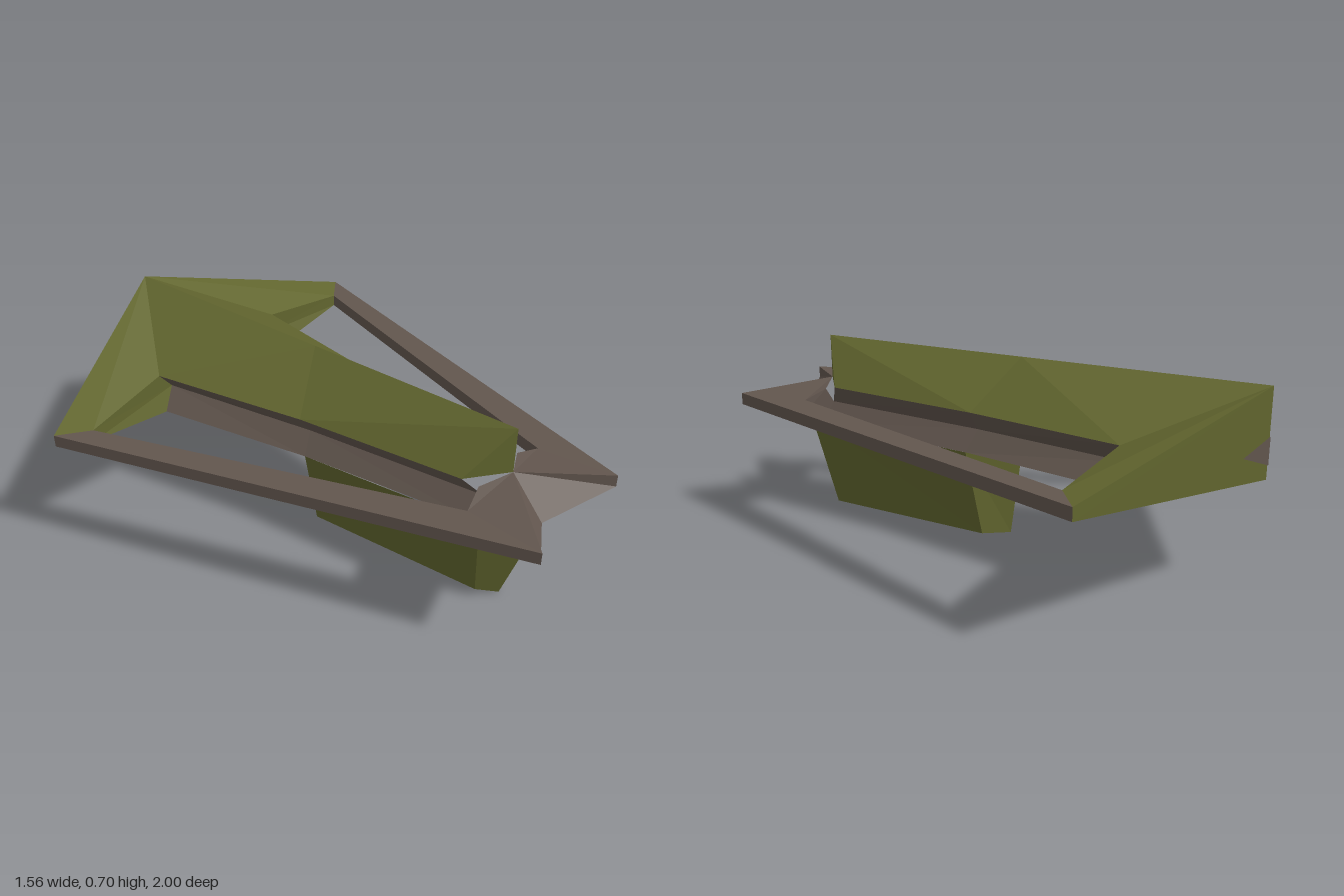
import * as THREE from 'three';

const green = new THREE.MeshStandardMaterial({ color: 0x62662f, flatShading: true });
green.name = 'olive armour';
const brown = new THREE.MeshStandardMaterial({ color: 0x62564e, flatShading: true });
brown.name = 'brown frame';

// Directions a face points toward, used to wind its corners
const UP = [0, 1, 0], DOWN = [0, -1, 0], OUT = [1, 0, 0], IN = [-1, 0, 0], FRONT = [0, 0, 1], BACK = [0, 0, -1];
const CORNER_BACK = [1, 0, -2], CORNER_FRONT = [1, 0, 1];

// Build a mesh from flat polygons of the +x half, mirrored to the -x half
function mirroredMesh(name, material, faces) {
  const pos = [];
  for (const [toward, ...corners] of faces) {
    const pts = corners.map((c) => new THREE.Vector3(...c));
    const dir = new THREE.Vector3(...toward);
    for (let i = 1; i < pts.length - 1; i++) {
      let [a, b, c] = [pts[0], pts[i], pts[i + 1]];
      const n = b.clone().sub(a).cross(c.clone().sub(a));
      if (n.dot(dir) < 0) [b, c] = [c, b];
      for (const p of [a, b, c]) pos.push(p.x, p.y, p.z);
      for (const p of [a, c, b]) pos.push(-p.x, p.y, p.z);
    }
  }
  const g = new THREE.BufferGeometry();
  g.setAttribute('position', new THREE.Float32BufferAttribute(pos, 3));
  g.computeVertexNormals();
  const mesh = new THREE.Mesh(g, material);
  mesh.name = name;
  return mesh;
}

export function createModel() {
  const model = new THREE.Group();
  model.name = 'spacecraft';

  // Shared corners
  const apex = [0, 0.70, -1], ridgeMid = [0, 0.70, -0.1], ridgeFront = [0, 0.70, 0.74];
  const tailLow = [0, 0.38, -1], noseTop = [0, 0.53, 0.74], noseLow = [0, 0.38, 0.865];
  const tipHi = [0.78, 0.49, -0.64], tipLo = [0.78, 0.445, -0.64];
  const innerHi = [0.67, 0.49, -0.56], innerLo = [0.67, 0.445, -0.56];
  const prongHi = [0.25, 0.49, 0.995], prongLo = [0.25, 0.445, 0.995];
  const crotchHi = [0.22, 0.49, 0.71], crotchLo = [0.22, 0.445, 0.71];
  const cheekHi = [0.12, 0.515, 0.685], cheekLo = [0.13, 0.38, 0.70];

  // Hull side stations from rear to front: upper edge, groove bottom, lower edge
  const upper = [[0.315, 0.53, -0.60], [0.205, 0.53, 0], [0.138, 0.53, 0.63]];
  const groove = [[0.25, 0.455, -0.61], [0.15, 0.455, 0], [0.08, 0.455, 0.68]];
  const lower = [[0.315, 0.38, -0.58], [0.205, 0.38, 0.02], cheekLo];

  // Roofed hull with swept wings
  model.add(mirroredMesh('hull and wings', green, [
    [UP, ridgeMid, apex, upper[0], upper[1]],
    [UP, ridgeFront, ridgeMid, upper[1], upper[2]],
    [FRONT, ridgeFront, upper[2], noseTop],
    [UP, apex, tipHi, innerHi, upper[0]],
    [CORNER_BACK, apex, tipHi, tipLo, tailLow],
    [DOWN, tailLow, tipLo, innerLo, lower[0]],
    [FRONT, groove[0], upper[0], innerHi, innerLo, lower[0]],
    [DOWN, tailLow, ...lower, noseLow],
  ]));

  // Recessed groove along each flank
  const flank = [];
  for (let i = 0; i < 2; i++) {
    flank.push([OUT, upper[i], upper[i + 1], groove[i + 1], groove[i]]);
    flank.push([OUT, groove[i], groove[i + 1], lower[i + 1], lower[i]]);
  }
  flank.push([DOWN, upper[2], noseTop, groove[2]]);
  model.add(mirroredMesh('side grooves', brown, flank));

  // Forked nose
  model.add(mirroredMesh('nose', brown, [
    [UP, noseTop, cheekHi, crotchHi, prongHi],
    [FRONT, noseTop, prongHi, prongLo, noseLow],
    [DOWN, noseLow, prongLo, crotchLo, cheekLo],
    [BACK, cheekHi, crotchHi, crotchLo, cheekLo],
    [BACK, cheekHi, cheekLo, groove[2]],
  ]));

  // Bars from the nose prongs to the wing tips
  model.add(mirroredMesh('frame bars', brown, [
    [UP, tipHi, innerHi, crotchHi, prongHi],
    [DOWN, tipLo, innerLo, crotchLo, prongLo],
    [OUT, tipHi, prongHi, prongLo, tipLo],
    [IN, innerHi, crotchHi, crotchLo, innerLo],
  ]));

  // Tapered keel with a pointed bow and stern
  const kTop = [[0, 0.38, 0.865], [0.137, 0.38, 0.71], [0.205, 0.38, 0.02], [0, 0.38, -0.11]];
  const kLow = [[0, 0, 0.74], [0.075, 0.035, 0.685], [0.12, 0.04, 0], [0, 0.012, -0.06]];
  const toward = [CORNER_FRONT, OUT, CORNER_BACK];
  const keel = toward.map((d, i) => [d, kTop[i], kTop[i + 1], kLow[i + 1], kLow[i]]);
  keel.push([DOWN, ...kLow]);
  model.add(mirroredMesh('keel', green, keel));

  // Diamond exhaust panel laid on the stern
  model.add(mirroredMesh('exhaust panel', brown, [
    [CORNER_BACK, [0, 0.53, -1.003], [0.12, 0.48, -0.948], [0, 0.43, -1.003]],
  ]));

  return model;
}
